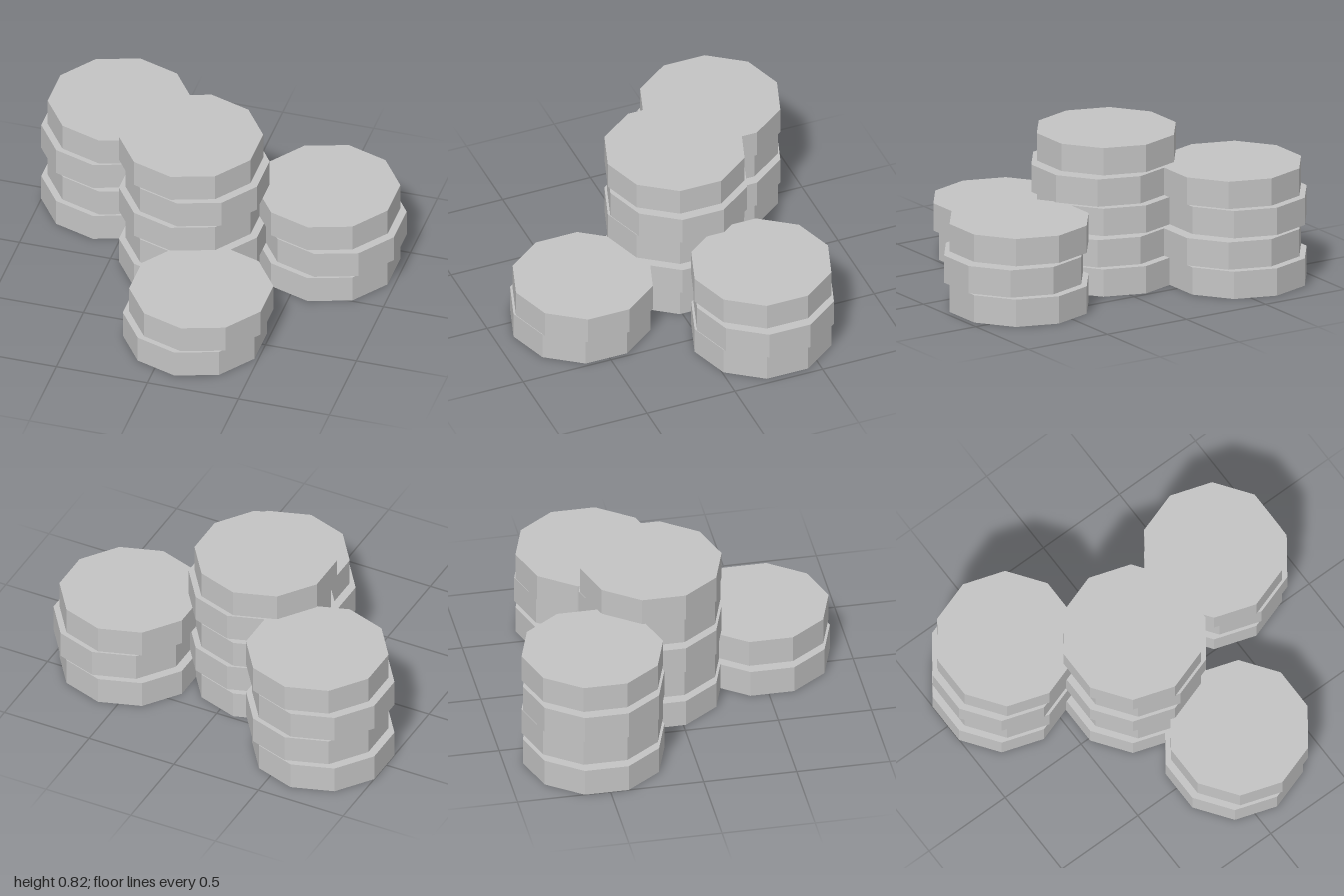
import * as THREE from 'three';

export function createModel() {
  const model = new THREE.Group();
  model.name = 'discStacks';
  const grey = new THREE.MeshStandardMaterial({ color: 0xc4c4c4 });
  grey.name = 'silver grey';

  const radius = 0.38, height = 0.15, pitch = 0.1667, shift = 0.035;

  // Ten-sided disc with hard edges, one corner facing the front
  const disc = new THREE.CylinderGeometry(radius, radius, height, 10).toNonIndexed();
  disc.computeVertexNormals();

  // Stack positions and disc counts
  const stacks = [
    { name: 'centreStack', x: -0.088, z: -0.104, count: 5 },
    { name: 'backRightStack', x: -0.639, z: -0.52, count: 4 },
    { name: 'leftStack', x: 0.603, z: -0.314, count: 3 },
    { name: 'frontStack', x: 0.118, z: 0.518, count: 2 },
  ];

  for (const { name, x, z, count } of stacks) {
    const stack = new THREE.Group();
    stack.name = name;
    stack.position.set(x, 0, z);
    // Every second disc is nudged sideways
    for (let i = 0; i < count; i++) {
      const mesh = new THREE.Mesh(disc, grey);
      mesh.name = `disc${i + 1}`;
      mesh.position.set((i % 2) * shift, height / 2 + i * pitch, 0);
      stack.add(mesh);
    }
    model.add(stack);
  }
  return model;
}
